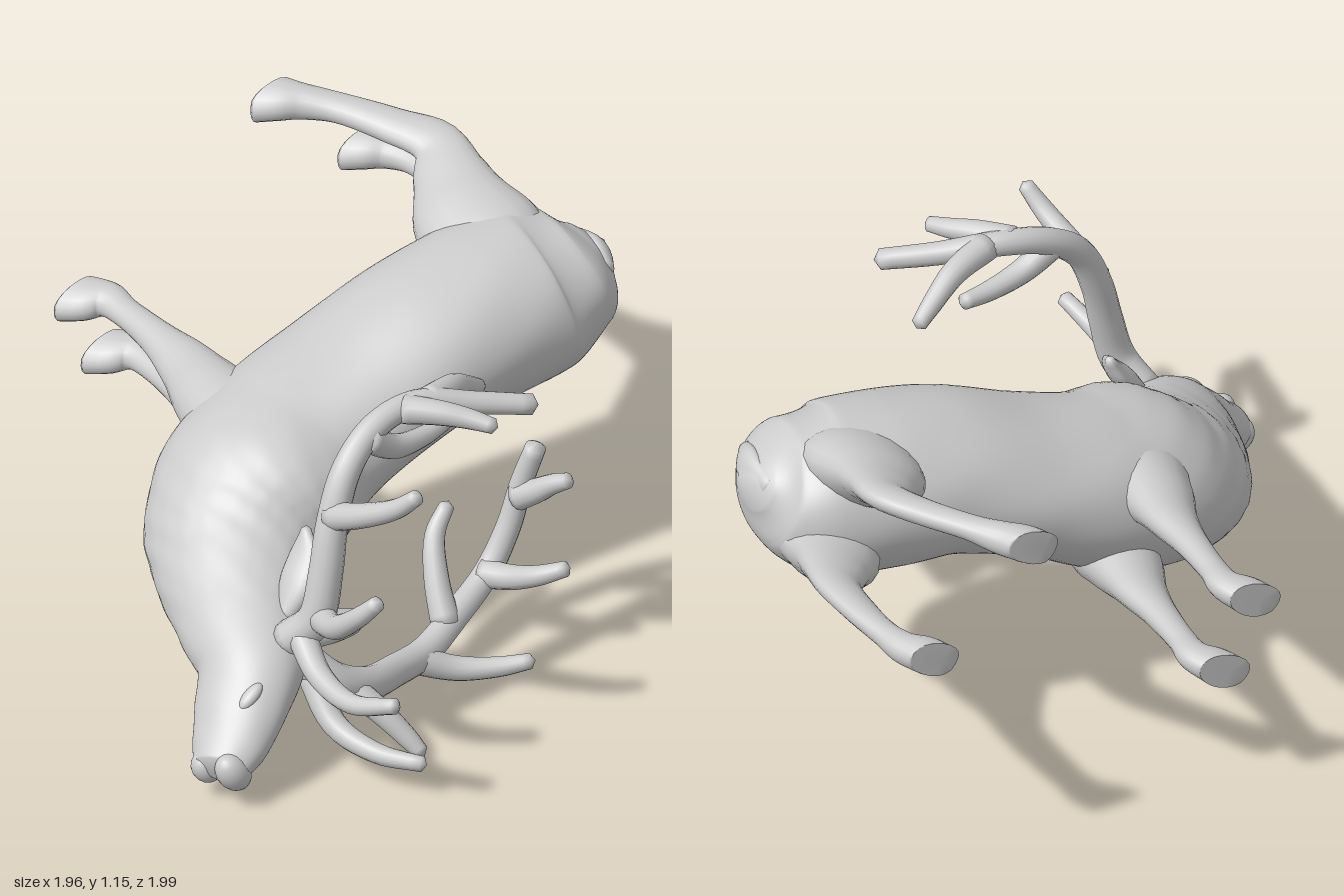
import * as THREE from 'three';

const V = (x, y, z) => new THREE.Vector3(x, y, z);
const material = new THREE.MeshStandardMaterial({ color: 0xcccccc });
const LATERAL = V(-0.37, 0.93, 0);

// Smooth closed skin through stations [x, y, z, halfWidth, halfHeight].
// Width lies along ref, height is square to it; z is cut off at the soles.
function loft(stations, { ref, sides = 20, steps = 5, bump = () => 0 } = {}) {
  const path = new THREE.CatmullRomCurve3(stations.map(s => V(s[0], s[1], s[2])), false, 'centripetal');
  const radii = new THREE.CatmullRomCurve3(stations.map(s => V(s[3], s[4] ?? s[3], 0)), false, 'catmullrom', 0.4);
  if (!ref) {
    const c = path.getPoint(1).sub(path.getPoint(0));
    const a = [Math.abs(c.x), Math.abs(c.y), Math.abs(c.z)];
    const k = a.indexOf(Math.min(...a));
    ref = V(+(k === 0), +(k === 1), +(k === 2));
  }
  const rows = (stations.length - 1) * steps;
  const pos = [], index = [];
  const push = p => pos.push(p.x, p.y, Math.max(-1, p.z));
  for (let i = 0; i <= rows; i++) {
    const t = i / rows, p = path.getPoint(t), r = radii.getPoint(t), T = path.getTangent(t);
    const u = ref.clone().addScaledVector(T, -ref.dot(T)).normalize();
    const v = T.clone().cross(u);
    for (let j = 0; j < sides; j++) {
      const a = j / sides * Math.PI * 2, k = 1 + bump(t, a);
      push(p.clone().addScaledVector(u, r.x * k * Math.cos(a)).addScaledVector(v, r.y * k * Math.sin(a)));
    }
  }
  const first = pos.length / 3, last = first + 1;
  const cap = (t, sign) => {
    const r = radii.getPoint(t);
    push(path.getPoint(t).addScaledVector(path.getTangent(t), sign * 0.6 * Math.min(r.x, r.y)));
  };
  cap(0, -1);
  cap(1, 1);
  for (let j = 0; j < sides; j++) {
    const n = (j + 1) % sides, end = rows * sides;
    for (let i = 0; i < rows; i++) {
      const a = i * sides + j, b = i * sides + n, c = a + sides, d = b + sides;
      index.push(a, b, c, b, d, c);
    }
    index.push(first, n, j, last, end + j, end + n);
  }
  const g = new THREE.BufferGeometry();
  g.setAttribute('position', new THREE.Float32BufferAttribute(pos, 3));
  g.setIndex(index);
  g.computeVertexNormals();
  return g;
}

export function createModel() {
  const model = new THREE.Group();
  const add = (name, geometry, parent = model) => {
    const mesh = new THREE.Mesh(geometry, material);
    mesh.name = name;
    parent.add(mesh);
    return mesh;
  };
  const ball = (name, x, y, z, sx, sy, sz, turn) => {
    const mesh = add(name, new THREE.SphereGeometry(1, 20, 14));
    mesh.position.set(x, y, z);
    mesh.scale.set(sx, sy, sz);
    mesh.rotation.z = turn;
  };

  // Rump, barrel, chest, neck and head in one skin, with a shaggy neck
  add('bodyAndHead', loft([
    [0.93, 0.90, -0.04, 0.09, 0.12],
    [0.87, 0.875, -0.045, 0.18, 0.215],
    [0.74, 0.83, -0.075, 0.245, 0.28],
    [0.55, 0.81, -0.09, 0.25, 0.295],
    [0.35, 0.785, -0.095, 0.23, 0.30],
    [0.10, 0.70, -0.11, 0.215, 0.31],
    [-0.12, 0.61, -0.11, 0.24, 0.31],
    [-0.29, 0.545, -0.06, 0.255, 0.32],
    [-0.41, 0.48, 0.01, 0.225, 0.295],
    [-0.50, 0.43, 0.11, 0.19, 0.25],
    [-0.60, 0.375, 0.27, 0.15, 0.20],
    [-0.68, 0.32, 0.41, 0.125, 0.165],
    [-0.775, 0.245, 0.485, 0.10, 0.145],
    [-0.86, 0.172, 0.54, 0.08, 0.12],
    [-0.92, 0.135, 0.575, 0.06, 0.09],
  ], {
    ref: LATERAL, sides: 64, steps: 10,
    bump: (t, a) => {
      const mane = Math.max(0, 1 - Math.abs(t - 0.6) / 0.17);
      return 0.012 * mane * Math.sin(17 * a + 30 * t) * Math.sin(5 * a - 90 * t) + 0.003 * Math.sin(7 * a + 50 * t);
    },
  }));
  ball('nose', -0.905, 0.14, 0.615, 0.05, 0.07, 0.05, 0.6);
  ball('chin', -0.93, 0.12, 0.52, 0.045, 0.055, 0.045, 0.6);
  ball('leftBrow', -0.70, 0.22, 0.55, 0.05, 0.02, 0.025, 0.65);
  ball('rightBrow', -0.79, 0.325, 0.55, 0.05, 0.02, 0.025, 0.65);

  // Tail hanging over the rump
  add('tail', loft([[0.89, 0.91, 0.08, 0.03], [0.93, 0.92, 0, 0.055, 0.03], [0.925, 0.92, -0.13, 0.03, 0.02]], { ref: LATERAL }));

  // Front legs: shoulder, knee, fetlock, hoof
  [['rightFrontLeg', 0, 0], ['leftFrontLeg', 0.10, -0.225]].forEach(([name, dx, dy]) => add(name, loft([
    [-0.24, 0.655, -0.06, 0.05, 0.06],
    [-0.24, 0.665, -0.22, 0.11, 0.14],
    [-0.225, 0.68, -0.36, 0.095, 0.12],
    [-0.20, 0.70, -0.52, 0.06, 0.085],
    [-0.19, 0.715, -0.68, 0.044, 0.055],
    [-0.185, 0.72, -0.83, 0.038, 0.046],
    [-0.185, 0.72, -0.92, 0.045, 0.058],
    [-0.225, 0.71, -0.98, 0.052, 0.08],
    [-0.245, 0.70, -1.03, 0.056, 0.09],
  ].map(([x, y, ...rest]) => [x + dx, y + dy, ...rest]), { ref: LATERAL })));

  // Hind legs: thigh, hock, cannon, hoof
  add('rightHindLeg', loft([
    [0.66, 0.90, -0.02, 0.06, 0.09],
    [0.66, 0.95, -0.16, 0.105, 0.18],
    [0.67, 0.99, -0.30, 0.095, 0.165],
    [0.71, 1.045, -0.43, 0.062, 0.115],
    [0.745, 1.09, -0.54, 0.042, 0.078],
    [0.69, 1.105, -0.68, 0.038, 0.06],
    [0.61, 1.12, -0.83, 0.038, 0.05],
    [0.55, 1.12, -0.92, 0.05, 0.055],
    [0.50, 1.12, -0.98, 0.054, 0.075],
    [0.47, 1.11, -1.03, 0.056, 0.085],
  ], { ref: LATERAL }));
  add('leftHindLeg', loft([
    [0.74, 0.75, -0.02, 0.06, 0.09],
    [0.77, 0.735, -0.16, 0.105, 0.16],
    [0.80, 0.745, -0.30, 0.095, 0.145],
    [0.86, 0.79, -0.43, 0.06, 0.105],
    [0.905, 0.82, -0.54, 0.042, 0.075],
    [0.905, 0.825, -0.69, 0.038, 0.06],
    [0.89, 0.825, -0.83, 0.038, 0.046],
    [0.865, 0.82, -0.92, 0.048, 0.055],
    [0.825, 0.82, -0.98, 0.054, 0.075],
    [0.80, 0.81, -1.03, 0.056, 0.085],
  ], { ref: LATERAL }));

  // Leaf-shaped ears
  add('rightEar', loft([[-0.56, 0.44, 0.42, 0.03], [-0.50, 0.53, 0.40, 0.065, 0.035], [-0.45, 0.60, 0.37, 0.055, 0.025], [-0.42, 0.66, 0.34, 0.015]], { ref: V(0, 0, 1) }));
  add('leftEar', loft([[-0.50, 0.34, 0.43, 0.03], [-0.40, 0.32, 0.39, 0.065, 0.035], [-0.30, 0.295, 0.36, 0.065, 0.03], [-0.20, 0.28, 0.36, 0.015]], { ref: V(0, 0, 1) }));

  // Antlers: each a list of branches, the main beam first, tapering to the tips
  const antler = (name, branches) => {
    const group = new THREE.Group();
    group.name = name;
    branches.forEach((points, k) => {
      const n = points.length - 1;
      const [r0, r1] = k ? [0.045, 0.024] : [0.058, 0.032];
      add(k ? 'tine' : 'beam', loft(points.map((p, i) => [...p, r0 + (r1 - r0) * i / n]), { sides: 14 }), group);
    });
    model.add(group);
  };
  antler('rightAntler', [
    [[-0.60, 0.41, 0.48], [-0.55, 0.50, 0.55], [-0.51, 0.65, 0.55], [-0.47, 0.80, 0.53], [-0.40, 0.95, 0.51], [-0.28, 1.04, 0.49], [-0.13, 1.07, 0.50], [0.03, 1.04, 0.57], [0.18, 1.015, 0.65]],
    [[-0.58, 0.45, 0.52], [-0.62, 0.39, 0.66], [-0.63, 0.38, 0.83], [-0.585, 0.43, 0.98]],
    [[-0.54, 0.51, 0.56], [-0.575, 0.55, 0.68], [-0.575, 0.64, 0.79], [-0.55, 0.71, 0.85]],
    [[-0.47, 0.82, 0.53], [-0.45, 0.87, 0.64], [-0.41, 0.94, 0.76], [-0.38, 1.00, 0.82]],
    [[-0.32, 1.02, 0.50], [-0.22, 0.95, 0.50], [-0.10, 0.925, 0.48], [0, 0.925, 0.46]],
    [[-0.10, 1.065, 0.51], [0.03, 1.04, 0.46], [0.12, 0.985, 0.42], [0.18, 0.945, 0.39]],
    [[-0.18, 1.065, 0.50], [-0.11, 1.065, 0.58], [-0.05, 1.055, 0.65], [-0.01, 1.045, 0.71]],
  ]);
  antler('leftAntler', [
    [[-0.55, 0.33, 0.48], [-0.47, 0.25, 0.54], [-0.35, 0.19, 0.54], [-0.20, 0.145, 0.48], [-0.05, 0.125, 0.43], [0.10, 0.165, 0.38], [0.26, 0.23, 0.33], [0.34, 0.36, 0.33], [0.38, 0.50, 0.34], [0.41, 0.63, 0.37]],
    [[-0.53, 0.29, 0.50], [-0.54, 0.17, 0.63], [-0.50, 0.13, 0.78], [-0.43, 0.13, 0.91]],
    [[-0.43, 0.22, 0.54], [-0.38, 0.16, 0.63], [-0.33, 0.08, 0.71], [-0.31, 0.04, 0.75]],
    [[-0.10, 0.125, 0.44], [0.01, 0.08, 0.50], [0.11, 0.08, 0.57], [0.19, 0.10, 0.63]],
    [[0.06, 0.16, 0.39], [0.08, 0.27, 0.32], [0.12, 0.38, 0.26], [0.18, 0.45, 0.24]],
    [[0.25, 0.23, 0.33], [0.28, 0.25, 0.42], [0.31, 0.29, 0.51], [0.36, 0.33, 0.58]],
    [[0.37, 0.46, 0.34], [0.39, 0.50, 0.40], [0.41, 0.54, 0.45], [0.43, 0.57, 0.50]],
  ]);

  return model;
}
